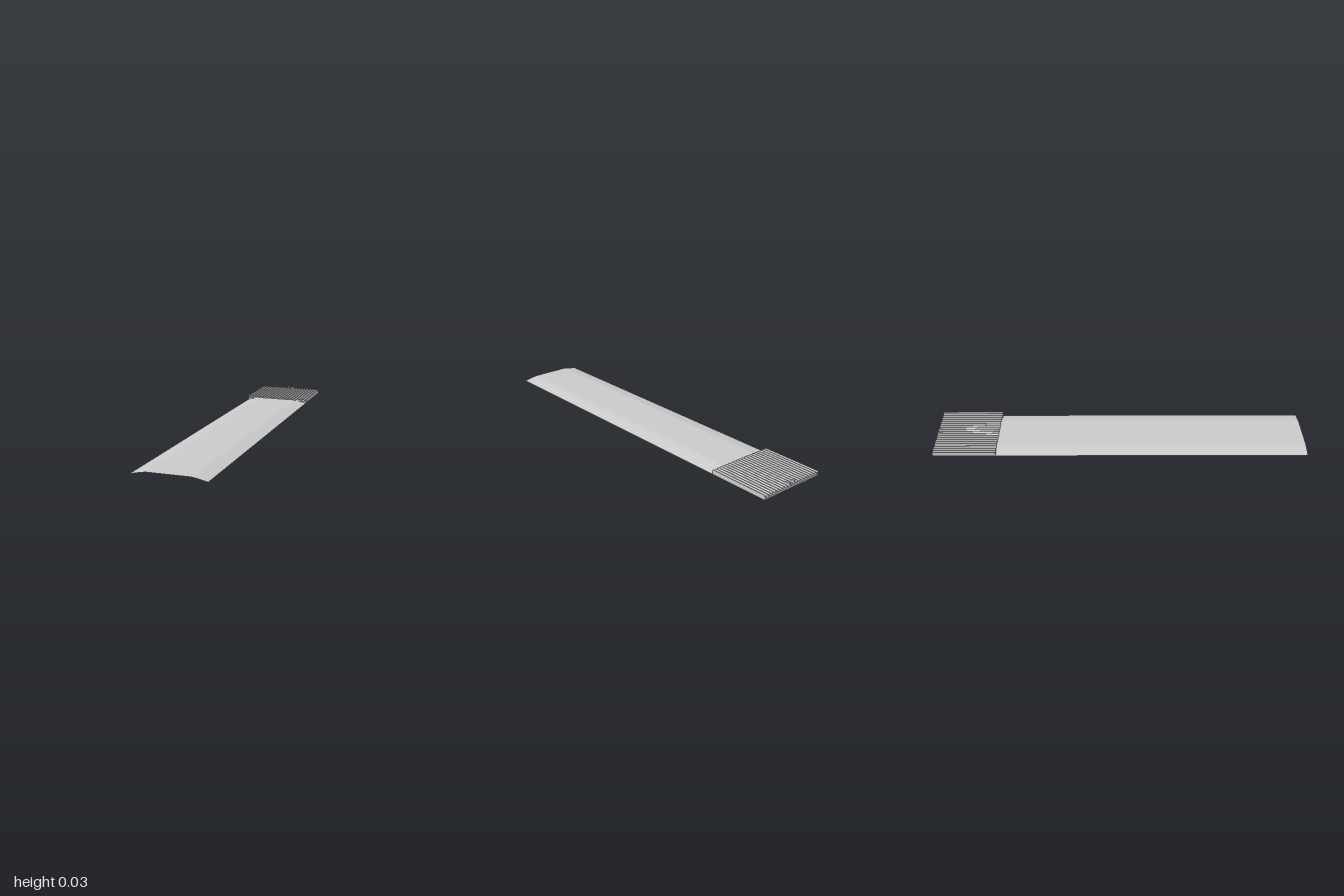
import * as THREE from 'three';

const HALF = 0.187;      // half width of the whole strip
const JOIN = -0.665;     // where the sheet meets the ribbed platform
const BASE = 0.011;      // height of the platform base
const RIB = 0.024;       // height of the rib crests

const solid = new THREE.MeshStandardMaterial({ color: 0xcccccc });
const thin = new THREE.MeshStandardMaterial({ color: 0xcccccc, side: THREE.DoubleSide });

// Open sheet: a cross-section (x, y) running left to right, swept along z
function sweep(profile, zBack, zFront) {
  const pos = [];
  for (let i = 0; i < profile.length - 1; i++) {
    const [x0, y0] = profile[i], [x1, y1] = profile[i + 1];
    const a = [x0, y0, zFront], b = [x1, y1, zFront];
    const c = [x1, y1, zBack], d = [x0, y0, zBack];
    pos.push(...a, ...b, ...c, ...a, ...c, ...d);
  }
  const geo = new THREE.BufferGeometry();
  geo.setAttribute('position', new THREE.Float32BufferAttribute(pos, 3));
  geo.computeVertexNormals();
  return geo;
}

function add(parent, name, geo, mat = solid) {
  const mesh = new THREE.Mesh(geo, mat);
  mesh.name = name;
  parent.add(mesh);
  return mesh;
}

export function createModel() {
  const model = new THREE.Group();
  model.name = 'ribbedRunway';

  // Long thin sheet with a flat crown and sloping edges
  const crown = [[-HALF, 0], [-0.135, 0.011], [-0.108, 0.0155],
    [0.108, 0.0155], [0.135, 0.011], [HALF, 0]];
  add(model, 'sheet', sweep(crown, JOIN, 1), thin);

  // Platform base
  const platform = new THREE.Group();
  platform.name = 'platform';
  model.add(platform);
  const depth = 1 + JOIN;
  add(platform, 'base', new THREE.BoxGeometry(2 * HALF, BASE, depth))
    .position.set(0, BASE / 2, (JOIN - 1) / 2);

  // Ribbed top: crests with narrow lands, valleys between, straight outer walls
  const count = 20, pitch = (2 * HALF) / count, land = pitch * 0.12;
  const ribs = [[-HALF, BASE]];
  for (let i = 0; i <= count; i++) {
    const x = -HALF + i * pitch;
    ribs.push([Math.max(x - land, -HALF), RIB], [Math.min(x + land, HALF), RIB]);
    if (i < count) ribs.push([x + pitch / 2, BASE + 0.002]);
  }
  ribs.push([HALF, BASE]);
  add(platform, 'ribs', sweep(ribs, -1, JOIN), thin);

  // Pair of small wedge stops at the back edge
  const wedge = new THREE.Shape([
    new THREE.Vector2(0, 0), new THREE.Vector2(0.026, 0),
    new THREE.Vector2(0.026, 0.009), new THREE.Vector2(0.02, 0.009),
  ]);
  const wedgeGeo = new THREE.ExtrudeGeometry(wedge, { depth: 0.007, bevelEnabled: false });
  wedgeGeo.rotateY(Math.PI / 2).translate(-0.0035, 0, 0);
  for (const side of [-1, 1]) {
    add(platform, side > 0 ? 'leftStop' : 'rightStop', wedgeGeo)
      .position.set(side * 0.0145, RIB, -0.974);
  }
  return model;
}
